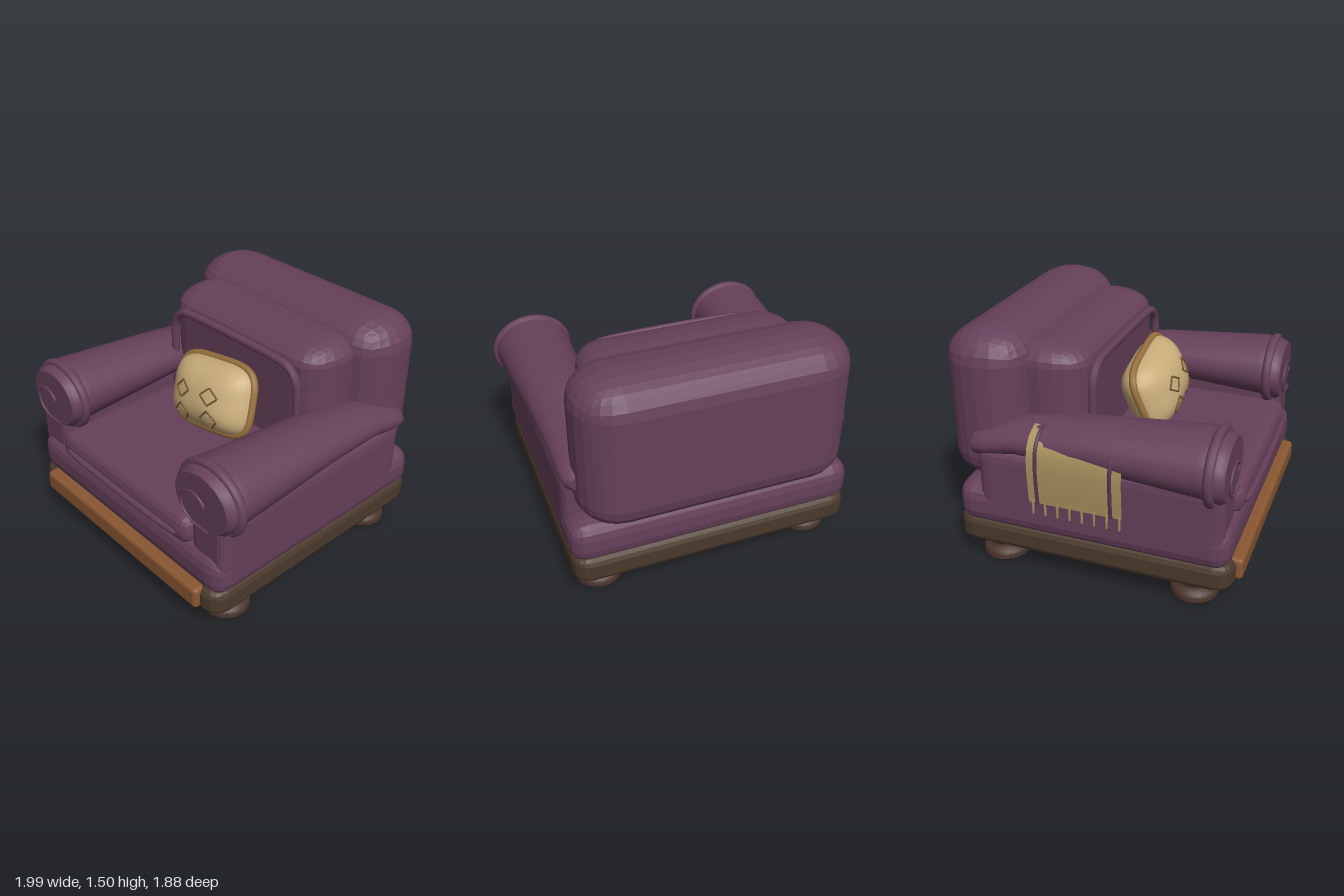
import * as THREE from 'three';
import { toCreasedNormals } from 'three/addons/utils/BufferGeometryUtils.js';
import { RoundedBoxGeometry } from 'three/addons/geometries/RoundedBoxGeometry.js';

const mat = (name, color, side = THREE.FrontSide) => {
  const m = new THREE.MeshStandardMaterial({ color, side });
  m.name = name;
  return m;
};
const V = (x, y, z) => new THREE.Vector3(x, y, z);

function add(parent, name, geometry, material) {
  const mesh = new THREE.Mesh(geometry, material);
  mesh.name = name;
  parent.add(mesh);
  return mesh;
}

// Faceted padded block given by its extents, with a rounding radius per axis
function padded([x0, x1], [y0, y1], [z0, z1], [rx, ry, rz], segments = 2) {
  const g = new RoundedBoxGeometry((x1 - x0) / rx, (y1 - y0) / ry, (z1 - z0) / rz, segments, 1);
  g.scale(rx, ry, rz);
  g.translate((x0 + x1) / 2, (y0 + y1) / 2, (z0 + z1) / 2);
  g.computeVertexNormals();
  return g;
}

// Closed piping along a rounded rectangle in the xy plane
function pipingLoop(hw, hh, r, tube) {
  const pts = [];
  [[1, 1], [-1, 1], [-1, -1], [1, -1]].forEach(([sx, sy], q) => {
    for (let i = 0; i <= 4; i++) {
      const a = (q + i / 4) * Math.PI / 2;
      pts.push(V(sx * (hw - r) + r * Math.cos(a), sy * (hh - r) + r * Math.sin(a), 0));
    }
  });
  return new THREE.TubeGeometry(new THREE.CatmullRomCurve3(pts, true), 96, tube, 8, true);
}

// Tapered elliptical roll through stations [z, centre y, radius x, radius y], front first
function armRoll(stations) {
  const n = stations.length - 1;
  const g = new THREE.CylinderGeometry(1, 1, 1, 24, n);
  const p = g.attributes.position;
  for (let i = 0; i < p.count; i++) {
    const [z, cy, rx, ry] = stations[Math.round((0.5 - p.getY(i)) * n)];
    p.setXYZ(i, p.getX(i) * rx, cy - p.getZ(i) * ry, z);
  }
  g.computeVertexNormals();
  return g;
}

// Throw pillow: squarish outline with a bulging front and back
const PW = 0.325, PH = 0.225, PD = 0.18;
const outline = (x, y) => Math.pow((x / PW) ** 4 + (y / PH) ** 4, 0.25);
const bulge = (r) => PD * Math.pow(Math.max(0, 1 - Math.pow(r, 2.5)), 0.6);

function pillowGeometry() {
  const g = new THREE.SphereGeometry(1, 40, 24).rotateX(Math.PI / 2);
  const p = g.attributes.position;
  for (let i = 0; i < p.count; i++) {
    const x = p.getX(i), y = p.getY(i), r = Math.min(1, Math.hypot(x, y));
    const k = r > 1e-5 ? r / Math.pow(x ** 4 + y ** 4, 0.25) : 0;
    p.setXYZ(i, x * k * PW, y * k * PH, Math.sign(p.getZ(i)) * bulge(r));
  }
  g.computeVertexNormals();
  return g;
}

export function createModel() {
  const purple = mat('purple upholstery', 0x66405a);
  const darkWood = mat('dark wood', 0x4a392b);
  const footWood = mat('foot wood', 0x4a342c);
  const panelWood = mat('panel wood', 0x8a5732);
  const tan = mat('tan pillow', 0xc9ad7a);
  const trim = mat('pillow trim', 0x98713f);
  const stitch = mat('stitching', 0x7c5a32);
  const cloth = mat('throw cloth', 0xa8925f, THREE.DoubleSide);
  const stripe = mat('throw stripe', 0x5a3652);

  const chair = new THREE.Group();
  chair.name = 'armchair';

  // Turned feet
  const profile = [[0, 0], [0.135, 0], [0.147, 0.012], [0.147, 0.045], [0.135, 0.06],
    [0.105, 0.075], [0.1, 0.09], [0.118, 0.12], [0.118, 0.16], [0, 0.16]];
  const footGeo = toCreasedNormals(
    new THREE.LatheGeometry(profile.map(([x, y]) => new THREE.Vector2(x, y)), 24), 0.7);
  for (const x of [-0.708, 0.708]) for (const z of [0.65, -0.605])
    add(chair, 'foot', footGeo, footWood).position.set(x, 0, z);

  // Wooden base and front panel
  add(chair, 'base', padded([-0.9, 0.9], [0.135, 0.335], [-0.845, 0.905], [0.11, 0.055, 0.11]), darkWood);
  add(chair, 'frontPanel', padded([-0.77, 0.77], [0.18, 0.32], [0.8, 0.945], [0.025, 0.025, 0.025]), panelWood);

  // Upholstered body
  add(chair, 'lowerCushion', padded([-0.908, 0.908], [0.28, 0.56], [-0.83, 0.89], [0.12, 0.1, 0.1]), purple);
  add(chair, 'seatCushion', padded([-0.64, 0.64], [0.5, 0.715], [-0.4, 0.895], [0.09, 0.09, 0.09]), purple);
  const seatPiping = add(chair, 'seatPiping', pipingLoop(0.61, 0.6, 0.13, 0.023), purple);
  seatPiping.rotation.x = Math.PI / 2;
  seatPiping.position.set(0, 0.59, 0.295);
  add(chair, 'backrest', padded([-0.84, 0.84], [0.52, 1.5], [-0.94, -0.385], [0.26, 0.19, 0.27], 3), purple);
  add(chair, 'backCushion', padded([-0.685, 0.685], [0.55, 1.41], [-0.6, -0.07], [0.19, 0.12, 0.26], 3), purple);
  add(chair, 'backPiping', pipingLoop(0.565, 0.37, 0.14, 0.027), purple).position.set(0, 0.93, -0.045);

  // Arms with rolled tops, rings and scrolls
  const rollGeo = armRoll([[0.85, 0.885, 0.215, 0.18], [0.82, 0.885, 0.24, 0.2], [0.7, 0.907, 0.25, 0.197],
    [0, 0.9, 0.207, 0.147], [-0.42, 0.88, 0.19, 0.112], [-0.6, 0.84, 0.187, 0.106],
    [-0.69, 0.825, 0.175, 0.095], [-0.72, 0.82, 0.14, 0.07]]);
  const ringGeo = new THREE.TorusGeometry(1, 0.12, 10, 40).scale(0.24, 0.207, 0.25);
  const scroll = [[0.035, -0.015], [0.045, 0.02], [0, 0.058], [-0.05, 0.066], [-0.11, 0.045],
    [-0.148, -0.015], [-0.13, -0.085], [-0.06, -0.135], [0.08, -0.145]];
  const scrollGeo = new THREE.TubeGeometry(
    new THREE.CatmullRomCurve3(scroll.map(([x, y]) => V(x, y, 0))), 60, 0.008, 6);
  for (const s of [-1, 1]) {
    const arm = new THREE.Group();
    arm.name = s < 0 ? 'rightArm' : 'leftArm';
    arm.position.x = s * 0.725;
    chair.add(arm);
    add(arm, 'armPanel', padded([s * 0.04 - 0.142, s * 0.04 + 0.142], [0.33, 0.83], [-0.66, 0.85],
      [0.05, 0.08, 0.08]), purple);
    add(arm, 'armRoll', rollGeo, purple);
    add(arm, 'armRing', ringGeo, purple).position.set(0, 0.888, 0.765);
    add(arm, 'armScroll', scrollGeo, purple).position.set(0, 0.88, 0.868);
  }

  // Throw pillow with piping and stitched diamonds
  const pillow = new THREE.Group();
  pillow.name = 'pillow';
  pillow.position.set(0.04, 0.977, 0.14);
  pillow.rotation.set(-0.35, 0, 0.147);
  chair.add(pillow);
  add(pillow, 'pillowBody', pillowGeometry(), tan);
  const edge = [];
  for (let i = 0; i < 40; i++) {
    const a = i / 40 * Math.PI * 2, c = Math.cos(a), s = Math.sin(a);
    const k = Math.pow(c ** 4 + s ** 4, -0.25);
    edge.push(V(c * k * PW, s * k * PH, 0));
  }
  add(pillow, 'pillowPiping', new THREE.TubeGeometry(
    new THREE.CatmullRomCurve3(edge, true), 100, 0.025, 8, true), trim);
  for (const sx of [-1, 1]) for (const sy of [-1, 1]) {
    const corners = [[0.064, 0], [0, 0.056], [-0.064, 0], [0, -0.056]].map(([dx, dy]) => {
      const x = sx * 0.116 + dx, y = sy * 0.073 - 0.06 + dy;
      return V(x, y, bulge(outline(x, y)) + 0.006);
    });
    const path = new THREE.CurvePath();
    corners.forEach((c, i) => path.add(new THREE.LineCurve3(c, corners[(i + 1) % 4])));
    add(pillow, 'stitchedDiamond', new THREE.TubeGeometry(path, 40, 0.006, 6, true), stitch);
  }

  // Throw draped over the right arm, with stripes and fringe
  const throwGroup = new THREE.Group();
  throwGroup.name = 'throw';
  chair.add(throwGroup);
  const drape = new THREE.CatmullRomCurve3([[-0.8, 1.0], [-0.87, 0.972], [-0.925, 0.91],
    [-0.945, 0.82], [-0.945, 0.68], [-0.935, 0.55]].map(([x, y]) => V(x, y, 0)));
  const clothGeo = new THREE.PlaneGeometry(1, 1, 6, 16);
  const cp = clothGeo.attributes.position;
  for (let i = 0; i < cp.count; i++) {
    const q = drape.getPoint(0.5 - cp.getY(i));
    cp.setXYZ(i, q.x, q.y, -0.02 + cp.getX(i) * 0.58);
  }
  clothGeo.computeVertexNormals();
  add(throwGroup, 'throwCloth', clothGeo, cloth);
  const stripeGeo = new THREE.TubeGeometry(drape, 32, 0.012, 6);
  for (const z of [-0.25, 0.205])
    add(throwGroup, 'throwStripe', stripeGeo, stripe).position.set(-0.01, 0.005, z);
  const tasselGeo = new THREE.CylinderGeometry(0.009, 0.007, 0.09, 6);
  for (let i = 0; i < 8; i++)
    add(throwGroup, 'tassel', tasselGeo, cloth).position.set(-0.936, 0.52, -0.285 + i * 0.077);

  return chair;
}
